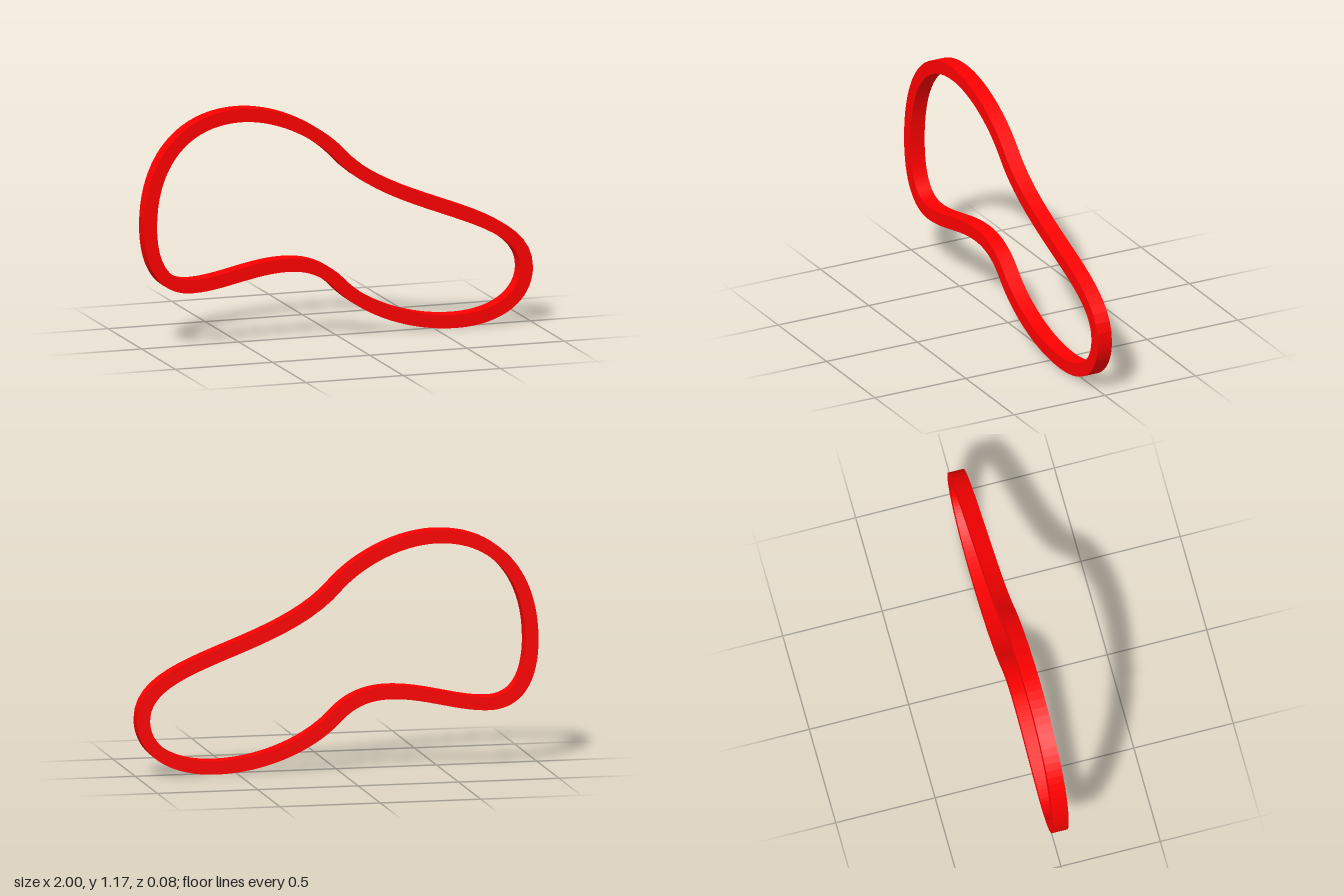
import * as THREE from 'three';

const HALF_WIDTH = 0.033;
const DEPTH = 0.078;

// Closed centre line of the band, clockwise from its left extreme
function centreLine() {
  const path = new THREE.Path();
  path.moveTo(-0.967, 0.61);
  path.bezierCurveTo(-0.967, 0.93, -0.79, 1.135, -0.5, 1.135); // big upper lobe
  path.bezierCurveTo(-0.32, 1.135, -0.12, 1.04, 0, 0.915);
  path.bezierCurveTo(0.29, 0.585, 0.967, 0.585, 0.967, 0.28); // slope to the right tip
  path.bezierCurveTo(0.967, 0.13, 0.82, 0.035, 0.606, 0.035); // lower lobe
  path.bezierCurveTo(0.37, 0.035, 0.13, 0.13, 0, 0.27);
  path.bezierCurveTo(-0.08, 0.35, -0.17, 0.374, -0.263, 0.374); // inward hump
  path.bezierCurveTo(-0.44, 0.374, -0.6, 0.302, -0.754, 0.302);
  path.bezierCurveTo(-0.9, 0.302, -0.967, 0.42, -0.967, 0.61);
  return path;
}

// Centre line moved sideways: positive distance is outward
function offsetOutline(path, distance, steps = 20) {
  const points = [];
  for (const curve of path.curves) {
    for (let i = 0; i < steps; i++) {
      const t = i / steps;
      const p = curve.getPoint(t);
      const d = curve.getTangent(t);
      points.push(new THREE.Vector2(p.x - d.y * distance, p.y + d.x * distance));
    }
  }
  return points;
}

export function createModel() {
  const group = new THREE.Group();
  group.name = 'loopBand';

  // Outline counter-clockwise, hole clockwise, so both walls face outward
  const path = centreLine();
  const shape = new THREE.Shape(offsetOutline(path, HALF_WIDTH).reverse());
  shape.holes.push(new THREE.Path(offsetOutline(path, -HALF_WIDTH)));

  // Flat band with a rectangular section
  const geometry = new THREE.ExtrudeGeometry(shape, { depth: DEPTH, bevelEnabled: false });
  geometry.translate(0, 0, -DEPTH / 2);
  geometry.computeBoundingBox();
  geometry.translate(0, -geometry.boundingBox.min.y, 0);

  const band = new THREE.Mesh(geometry, new THREE.MeshStandardMaterial({ color: 0xff0000 }));
  band.name = 'band';
  group.add(band);
  return group;
}
